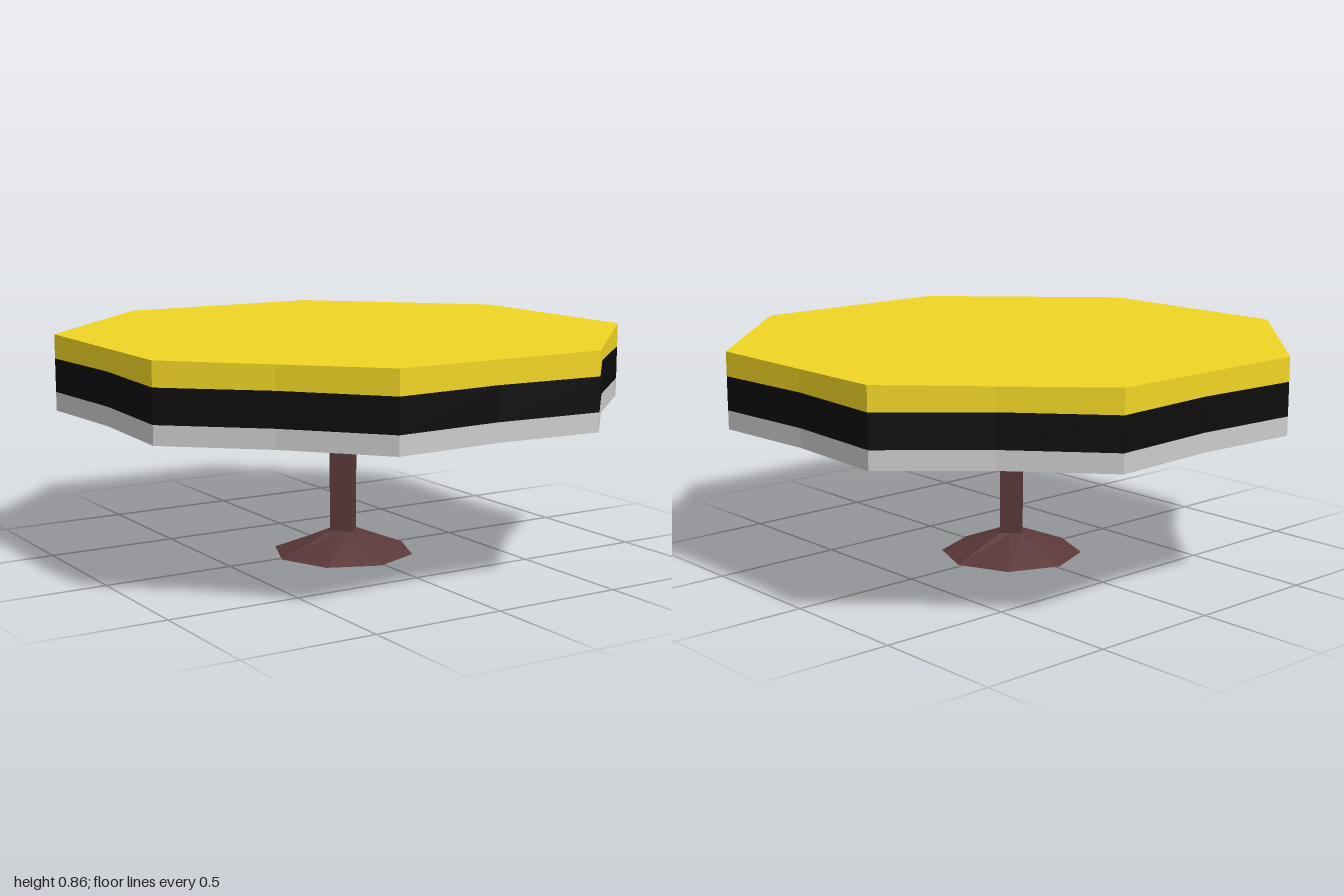
import * as THREE from 'three';

const paint = (color) => new THREE.MeshStandardMaterial({ color, flatShading: true });

// Stacks rings of [y, evenRadius, oddRadius] from bottom to top, with optional flat caps.
function loft(sides, rings, capBottom, capTop) {
  const points = [];
  const at = ([y, even, odd], i) => {
    const a = (i / sides) * Math.PI * 2;
    const r = i % 2 ? odd : even;
    return [r * Math.sin(a), y, r * Math.cos(a)];
  };
  const first = rings[0];
  const last = rings[rings.length - 1];
  for (let i = 0; i < sides; i++) {
    for (let k = 0; k < rings.length - 1; k++) {
      const a = at(rings[k], i), b = at(rings[k], i + 1);
      const c = at(rings[k + 1], i + 1), d = at(rings[k + 1], i);
      points.push(...a, ...b, ...c, ...a, ...c, ...d);
    }
    if (capBottom) points.push(0, first[0], 0, ...at(first, i + 1), ...at(first, i));
    if (capTop) points.push(0, last[0], 0, ...at(last, i), ...at(last, i + 1));
  }
  const geometry = new THREE.BufferGeometry();
  geometry.setAttribute('position', new THREE.Float32BufferAttribute(points, 3));
  geometry.computeVertexNormals();
  return geometry;
}

export function createModel() {
  const group = new THREE.Group();
  const add = (name, geometry, material, x = 0, z = 0) => {
    const mesh = new THREE.Mesh(geometry, material);
    mesh.name = name;
    mesh.position.set(x, 0, z);
    group.add(mesh);
  };

  // Octagonal top: corners at full radius, wall middles pinched slightly inward
  const corner = 1 / Math.cos(Math.PI / 8);
  const pinch = 0.975;
  const wall = (y) => [y, pinch, corner];
  add('lowerBand', loft(16, [wall(0.575), wall(0.645)], true, false), paint(0xcccccc));
  add('middleBand', loft(16, [wall(0.645), wall(0.77)], false, false), paint(0x0d0d0d));
  // The top sheet keeps straight edges that overhang the pinched wall
  add('tableTop', loft(16, [wall(0.77), wall(0.857), [0.86, 1, corner]], false, true), paint(0xf0d524));

  // Square post set diagonally, flaring into an eight-sided foot
  const brown = paint(0x5a3838);
  const post = 0.06;
  const postMiddle = post * Math.SQRT1_2;
  const foot = 0.272;
  add('post', loft(4, [[0.085, post, post], [0.575, post, post]], false, false), brown, -0.014, 0.017);
  add('foot', loft(8, [[0, foot, foot], [0.085, post, postMiddle]], true, true), brown, -0.014, 0.017);

  return group;
}
